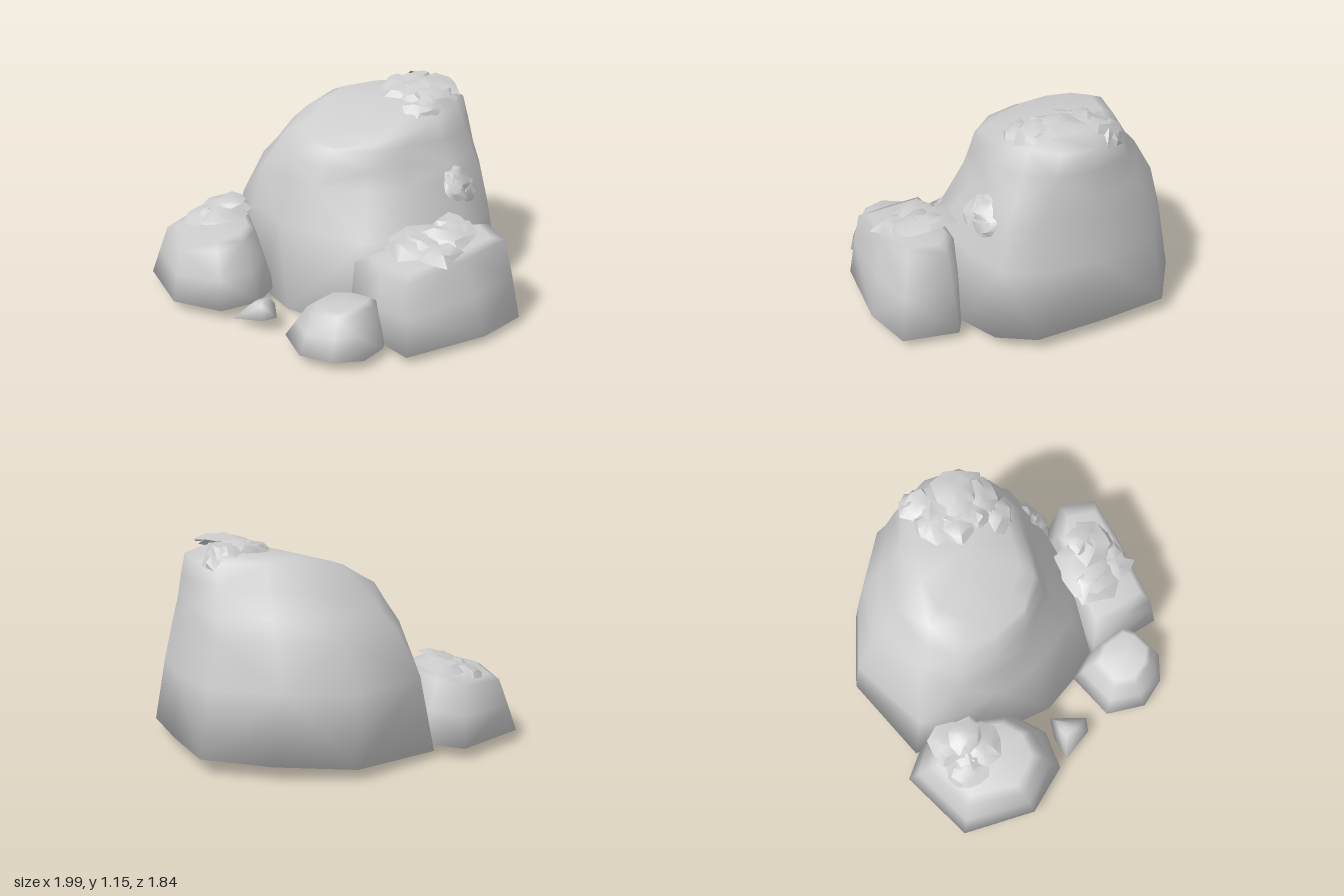
import * as THREE from 'three';
import { toCreasedNormals } from 'three/addons/utils/BufferGeometryUtils.js';

// Skin a stack of [x, z] outlines; each level has an outline and a height rule y(x, z)
function rockGeometry(levels) {
  const n = levels[0].outline.length, pos = [], idx = [];
  const addCap = ({ outline, y }, lift) => {
    const cx = outline.reduce((s, p) => s + p[0], 0) / n;
    const cz = outline.reduce((s, p) => s + p[1], 0) / n;
    pos.push(cx, y(cx, cz) + lift, cz);
    return pos.length / 3 - 1;
  };
  for (const { outline, y } of levels) for (const [x, z] of outline) pos.push(x, y(x, z), z);
  const last = (levels.length - 1) * n;
  const bottom = addCap(levels[0], 0), top = addCap(levels[levels.length - 1], 0.01);
  for (let i = 0; i < n; i++) {
    const j = (i + 1) % n;
    for (let k = 0; k < last; k += n) {
      // alternate the diagonal for an irregular, chiselled look
      const a = k + i, b = k + j, c = k + n + j, d = k + n + i;
      if ((i + k / n) % 2) idx.push(a, b, c, a, c, d);
      else idx.push(a, b, d, b, c, d);
    }
    idx.push(bottom, j, i, top, last + i, last + j);
  }
  const g = new THREE.BufferGeometry();
  g.setAttribute('position', new THREE.Float32BufferAttribute(pos, 3));
  g.setIndex(idx);
  g.computeVertexNormals();
  return g;
}

// Blend two outlines, or shrink one about its middle
const blend = (a, b, t) => a.map((p, i) => [p[0] + (b[i][0] - p[0]) * t, p[1] + (b[i][1] - p[1]) * t]);
function shrink(a, s) {
  const cx = a.reduce((t, p) => t + p[0], 0) / a.length, cz = a.reduce((t, p) => t + p[1], 0) / a.length;
  return a.map(([x, z]) => [cx + (x - cx) * s, cz + (z - cz) * s]);
}

// A boulder: shallow convex underside, leaning flank, rounded rim, crown height given by a rule
function boulder(base, top, foot, crown, rimHeight) {
  const y = (f) => (x, z) => foot + (crown(x, z) - foot) * f;
  return rockGeometry([
    { outline: shrink(base, 0.6), y: () => Math.max(0, foot - 0.04) },
    { outline: base, y: () => foot },
    { outline: blend(base, top, 0.5), y: y(rimHeight * 0.52) },
    { outline: top, y: y(rimHeight) },
    { outline: shrink(top, 0.8), y: y(1) },
  ]);
}

function random(seed) {
  let s = seed;
  return () => (s = (s * 16807) % 2147483647) / 2147483647;
}

// A thin ragged flake: jagged rim curling down around a raised middle
function flakeGeometry(radius, rnd) {
  const n = 9, pos = [0, radius * 0.16, 0], idx = [];
  for (const [f, drop] of [[0.55, 0.12], [1, -0.1]]) {
    for (let i = 0; i < n; i++) {
      const a = (i / n) * Math.PI * 2, r = radius * f * (0.72 + 0.42 * rnd());
      pos.push(Math.cos(a) * r, radius * (drop + 0.2 * (rnd() - 0.5)), -Math.sin(a) * r);
    }
  }
  for (let i = 0; i < n; i++) {
    const a = 1 + i, b = 1 + (i + 1) % n;
    idx.push(0, a, b, a, a + n, b + n, a, b + n, b);
  }
  const g = new THREE.BufferGeometry();
  g.setAttribute('position', new THREE.Float32BufferAttribute(pos, 3));
  g.setIndex(idx);
  return toCreasedNormals(g, 0.6);
}

export function createModel() {
  const model = new THREE.Group();
  const stone = new THREE.MeshStandardMaterial({ color: 0xcccccc, side: THREE.DoubleSide });
  stone.name = 'stone grey';
  const add = (name, geometry, parent = model) => {
    const m = new THREE.Mesh(geometry, stone);
    m.name = name;
    parent.add(m);
    return m;
  };

  // Main rock: wide foot, bulging hip, stepped shoulder, sloping crown
  const foot = [[0.66, -0.2], [0.67, -0.45], [0.55, -0.64], [0.2, -0.79], [-0.17, -0.92], [-0.5, -0.72], [-0.8, -0.42],
    [-0.85, 0.12], [-0.58, 0.25], [-0.34, 0.42], [-0.12, 0.51], [0.3, 0.49], [0.55, 0.25]];
  const hip = [[0.58, -0.2], [0.6, -0.44], [0.5, -0.6], [0.19, -0.76], [-0.17, -0.84], [-0.49, -0.65], [-0.76, -0.38],
    [-0.76, 0.1], [-0.58, 0.23], [-0.33, 0.31], [-0.1, 0.36], [0.26, 0.32], [0.46, 0.13]];
  const waist = [[0.51, -0.2], [0.54, -0.43], [0.45, -0.57], [0.18, -0.73], [-0.16, -0.79], [-0.43, -0.62], [-0.64, -0.36],
    [-0.66, 0.02], [-0.53, 0.19], [-0.31, 0.27], [-0.1, 0.3], [0.2, 0.2], [0.33, 0.02]];
  const rim = [[0.37, -0.22], [0.38, -0.42], [0.32, -0.59], [0.14, -0.68], [-0.04, -0.67], [-0.23, -0.5], [-0.38, -0.3],
    [-0.43, -0.1], [-0.36, 0.08], [-0.2, 0.17], [0, 0.18], [0.17, 0.1], [0.27, -0.06]];
  add('mainRock', rockGeometry([
    { outline: shrink(foot, 0.5), y: (x, z) => 0.02 - 0.03 * z },
    { outline: foot, y: (x, z) => 0.04 - 0.045 * z },
    { outline: hip, y: () => 0.43 },
    { outline: waist, y: () => 0.68 },
    { outline: blend(waist, rim, 0.35), y: () => 0.78 },
    { outline: blend(waist, rim, 0.68), y: (x, z) => 0.89 - 0.05 * z },
    { outline: rim, y: (x, z) => Math.min(1.04, 0.94 - 0.3 * z, 1.2 + 0.45 * x) },
    { outline: shrink(rim, 0.78), y: (x, z) => Math.min(1.08, 0.98 - 0.3 * z) },
  ]));

  // Boulders leaning against the main rock
  add('leftBoulder', boulder(
    [[0.94, 0.2], [0.99, -0.09], [0.74, -0.26], [0.6, -0.15], [0.42, 0.2], [0.28, 0.5], [0.5, 0.56], [0.72, 0.62]],
    [[0.81, 0.22], [0.9, -0.06], [0.73, -0.18], [0.58, -0.08], [0.42, 0.2], [0.3, 0.47], [0.5, 0.53], [0.67, 0.57]],
    0.04, (x, z) => 0.47 + 0.04 * x - 0.12 * z, 0.94));
  add('rightBoulder', boulder(
    [[-0.25, 0.6], [-0.3, 0.4], [-0.5, 0.22], [-0.8, 0.12], [-0.99, 0.2], [-1, 0.65], [-0.64, 0.86], [-0.35, 0.8]],
    [[-0.37, 0.57], [-0.41, 0.42], [-0.55, 0.3], [-0.77, 0.22], [-0.91, 0.3], [-0.91, 0.6], [-0.65, 0.78], [-0.43, 0.72]],
    0.06, (x, z) => 0.49 + 0.07 * x - 0.1 * z, 0.92));
  add('frontBoulder', boulder(
    [[0.58, 0.62], [0.52, 0.5], [0.3, 0.46], [0.11, 0.5], [0.08, 0.79], [0.27, 0.92], [0.45, 0.89], [0.57, 0.78]],
    [[0.51, 0.62], [0.48, 0.54], [0.32, 0.51], [0.2, 0.55], [0.18, 0.73], [0.28, 0.82], [0.42, 0.8], [0.5, 0.74]],
    0.05, (x) => 0.21 + 0.16 * x, 0.9));

  // Pebble at the foot
  add('pebble', rockGeometry([
    { outline: [[-0.03, 0.72], [-0.17, 0.56], [-0.24, 0.66], [-0.28, 0.79], [-0.08, 0.78]], y: (x) => 0.09 + 0.2 * x },
    { outline: [[-0.11, 0.69], [-0.17, 0.61], [-0.2, 0.66], [-0.2, 0.71], [-0.13, 0.72]], y: () => 0.12 },
  ]));

  // Flakes by patch: x, y, z, radius, pitch (about x), roll (about z)
  const patches = {
    crownFlakes: [[0.01, 1.1, -0.57, 0.13, -0.1, 0.15], [-0.04, 1.1, -0.46, 0.12, 0.1, 0.25], [0.06, 1.09, -0.36, 0.14, 0.25, 0],
      [0.17, 1.09, -0.34, 0.13, 0.25, -0.1], [0.2, 1.12, -0.47, 0.15, 0.1, -0.1], [0.29, 1.09, -0.38, 0.13, 0.2, -0.4],
      [0.27, 1.05, -0.23, 0.1, 0.4, -0.3], [0, 1.07, -0.66, 0.08, -0.9, 0]],
    leftBoulderFlakes: [[0.57, 0.5, 0.18, 0.2, 0.15, 0], [0.67, 0.53, 0.14, 0.16, 0.25, -0.15], [0.5, 0.49, 0.27, 0.14, 0.2, 0.1],
      [0.69, 0.49, 0.27, 0.12, 0.2, -0.2], [0.63, 0.56, 0.08, 0.1, 0.3, 0]],
    rightBoulderFlakes: [[-0.7, 0.43, 0.4, 0.19, 0.1, 0.1], [-0.78, 0.41, 0.46, 0.14, 0.2, 0.3], [-0.61, 0.45, 0.42, 0.13, 0.1, -0.1],
      [-0.74, 0.45, 0.32, 0.13, 0, 0.15], [-0.65, 0.49, 0.36, 0.1, 0.2, 0]],
    sideFlakes: [[0.51, 0.7, -0.22, 0.1, 0.2, -0.9], [0.55, 0.63, -0.28, 0.09, 0, -1.1], [0.53, 0.66, -0.16, 0.08, 0.5, -0.8]],
    smallFlake: [[0.1, 0.98, -0.06, 0.05, 0.5, 0.2]],
  };
  const rnd = random(41);
  for (const [name, flakes] of Object.entries(patches)) {
    const group = new THREE.Group();
    group.name = name;
    for (const [x, y, z, r, pitch, roll] of flakes) {
      const flake = add('flake', flakeGeometry(r, rnd), group);
      flake.position.set(x, y, z);
      flake.rotation.set(pitch, 0, roll);
    }
    model.add(group);
  }
  return model;
}
